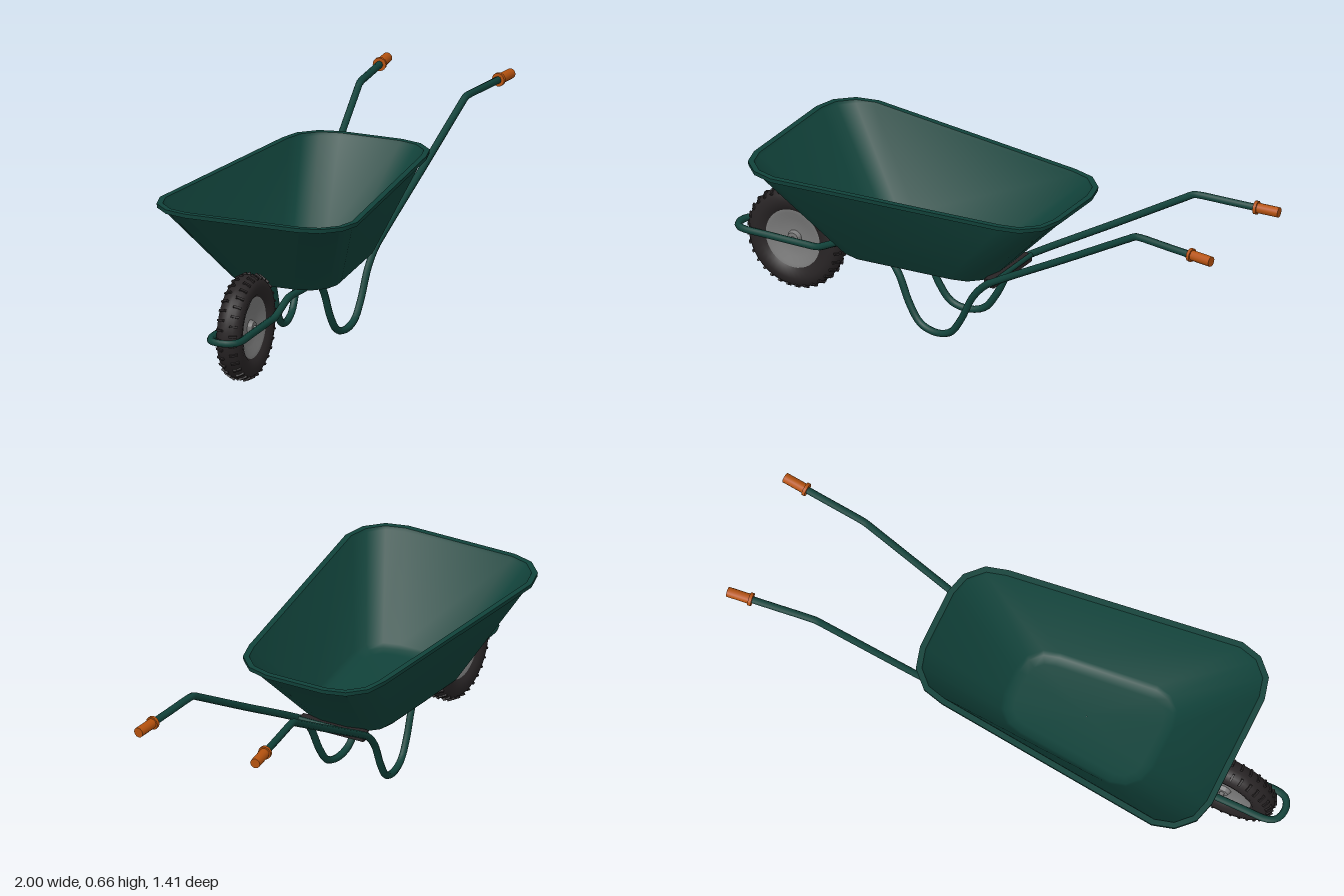
import * as THREE from 'three';
import { toCreasedNormals } from 'three/addons/utils/BufferGeometryUtils.js';

const mat = (name, color) => {
  const m = new THREE.MeshStandardMaterial({ color });
  m.name = name;
  return m;
};

export function createModel() {
  const green = mat('dark green', 0x11423a);
  const rubber = mat('black rubber', 0x282425);
  const steel = mat('grey steel', 0x7a7a7a);
  const orange = mat('orange grip', 0xb5520f);

  const model = new THREE.Group();
  model.name = 'wheelbarrow';
  // Long axis is local x: wheel at -x, handles at +x
  const barrow = new THREE.Group();
  barrow.name = 'barrow';
  barrow.rotation.y = 0.488;
  barrow.position.set(-0.006, 0, -0.011);
  model.add(barrow);

  const add = (parent, name, geometry, material) => {
    const mesh = new THREE.Mesh(geometry, material);
    mesh.name = name;
    parent.add(mesh);
    return mesh;
  };
  const rod = (name, a, b, r, material, sides = 12) => {
    const d = new THREE.Vector3().subVectors(b, a);
    const mesh = add(barrow, name, new THREE.CylinderGeometry(r, r, d.length(), sides), material);
    mesh.position.copy(a).addScaledVector(d, 0.5);
    mesh.quaternion.setFromUnitVectors(new THREE.Vector3(0, 1, 0), d.normalize());
  };

  // Tub: rounded trapezoid rings swept up the outside, over the lip and down the inside
  const STEPS = 3;
  const ring = (front, back, wFront, wBack, r, yFront, yBack) => {
    const pts = [];
    for (let q = 0; q < 4; q++) {
      const isBack = q === 0 || q === 3, sz = q < 2 ? 1 : -1;
      const cx = isBack ? back - r : front + r;
      const cz = sz * ((isBack ? wBack : wFront) - r);
      for (let i = 0; i <= STEPS; i++) {
        const t = (q + i / STEPS) * Math.PI / 2;
        const x = cx + r * Math.cos(t);
        const y = yFront + (yBack - yFront) * (x - front) / (back - front);
        pts.push([x, y, cz + r * Math.sin(t)]);
      }
    }
    return pts;
  };
  const rim = (inset, dy) =>
    ring(-0.913 + inset, 0.297 - inset, 0.385 - inset, 0.282 - inset, 0.165 - inset, 0.612 + dy, 0.582 + dy);
  const floorRing = (inset, dy) =>
    ring(-0.625 + inset, 0.005 - inset, 0.215 - inset, 0.18 - inset, 0.13 - inset, 0.287 + dy, 0.277 + dy);
  const centre = (y) => ring(-0.311, -0.309, 0.001, 0.001, 0.0005, y, y);
  const rings = [
    centre(0.264), floorRing(0.045, -0.016), floorRing(0.015, -0.011), floorRing(0, 0.004),
    rim(0.018, -0.018), rim(0.002, -0.016), rim(0, 0), rim(0.022, 0), rim(0.028, -0.012),
    floorRing(0.008, 0.012), floorRing(0.022, -0.002), floorRing(0.055, -0.007), centre(0.273),
  ];
  const n = rings[0].length, index = [];
  for (let i = 0; i < rings.length - 1; i++) {
    for (let j = 0; j < n; j++) {
      const k = (j + 1) % n;
      const a = i * n + j, b = i * n + k, c = a + n, d = b + n;
      index.push(a, c, b, b, c, d);
    }
  }
  const tub = new THREE.BufferGeometry();
  tub.setAttribute('position', new THREE.Float32BufferAttribute(rings.flat(2), 3));
  tub.setIndex(index);
  add(barrow, 'tub', toCreasedNormals(tub, 0.7), green);

  // Frame: one bent tube from handle to handle, via the legs and the wheel guard
  const spread = (x) => 0.138 + 0.103 * x;
  const side = [
    [0.95, 0.638], [0.8, 0.642], [0.69, 0.645], [0.667, 0.643], [0.64, 0.628], [0.35, 0.463],
    [0.06, 0.3], [0.0, 0.262], [-0.055, 0.2], [-0.105, 0.1], [-0.15, 0.037], [-0.195, 0.018],
    [-0.245, 0.018], [-0.29, 0.037], [-0.335, 0.1], [-0.38, 0.2], [-0.415, 0.243], [-0.46, 0.256],
    [-0.55, 0.256], [-0.645, 0.253], [-0.695, 0.23], [-0.74, 0.209], [-0.8, 0.205], [-0.95, 0.205],
  ].map(([x, y]) => [x, y, Math.max(spread(x), 0.058)]);
  side.push([-1.05, 0.205, 0.057], [-1.078, 0.205, 0.046], [-1.094, 0.205, 0.02]);
  const mirrored = side.map(([x, y, z]) => [x, y, -z]).reverse();
  const path = new THREE.CatmullRomCurve3([...side, ...mirrored].map((p) => new THREE.Vector3(...p)));
  add(barrow, 'frame', new THREE.TubeGeometry(path, 260, 0.0135, 8), green);

  // Grips with a collar at the inner end
  for (const s of [1, -1]) {
    const at = (x) => new THREE.Vector3(x, 0.645 - (x - 0.69) * 0.025, s * spread(x));
    rod('grip', at(0.915), at(1.003), 0.019, orange);
    rod('gripCollar', at(0.908), at(0.92), 0.025, orange);
  }

  // Cross members under the tub
  const bracket = add(barrow, 'rearBracket', new THREE.BoxGeometry(0.04, 0.03, 0.27), rubber);
  bracket.position.set(0.015, 0.272, 0);
  rod('rearCrossbar', new THREE.Vector3(0.035, 0.284, -0.14), new THREE.Vector3(0.035, 0.284, 0.14), 0.009, green, 8);

  // Wheel: tyre with tread blocks, dished rim and axle
  const wheel = new THREE.Group();
  wheel.name = 'wheel';
  wheel.position.set(-0.863, 0.2, 0);
  barrow.add(wheel);
  const lathe = (pts, segments) => toCreasedNormals(
    new THREE.LatheGeometry(pts.map(([r, y]) => new THREE.Vector2(r, y)), segments).rotateX(Math.PI / 2), 0.7);
  add(wheel, 'tyre', lathe([
    [0.112, -0.03], [0.125, -0.041], [0.15, -0.047], [0.172, -0.042], [0.187, -0.025], [0.191, 0],
    [0.187, 0.025], [0.172, 0.042], [0.15, 0.047], [0.125, 0.041], [0.112, 0.03],
  ], 40), rubber);
  add(wheel, 'rim', lathe([
    [0, -0.032], [0.022, -0.032], [0.028, -0.016], [0.075, -0.018], [0.1, -0.03], [0.116, -0.031],
    [0.116, 0.031], [0.1, 0.03], [0.075, 0.018], [0.028, 0.016], [0.022, 0.032], [0, 0.032],
  ], 40), steel);
  for (let i = 0; i < 32; i++) {
    for (const s of [1, -1]) {
      const block = new THREE.BoxGeometry(0.008, 0.02, 0.03)
        .rotateX(s * 0.5).translate(0, 0.181, s * 0.024)
        .rotateZ((i + (s > 0 ? 0.5 : 0)) / 32 * Math.PI * 2);
      add(wheel, 'treadBlock', block, rubber);
    }
  }
  add(wheel, 'axle', new THREE.CylinderGeometry(0.009, 0.009, 0.12, 12).rotateX(Math.PI / 2), steel);

  return model;
}
